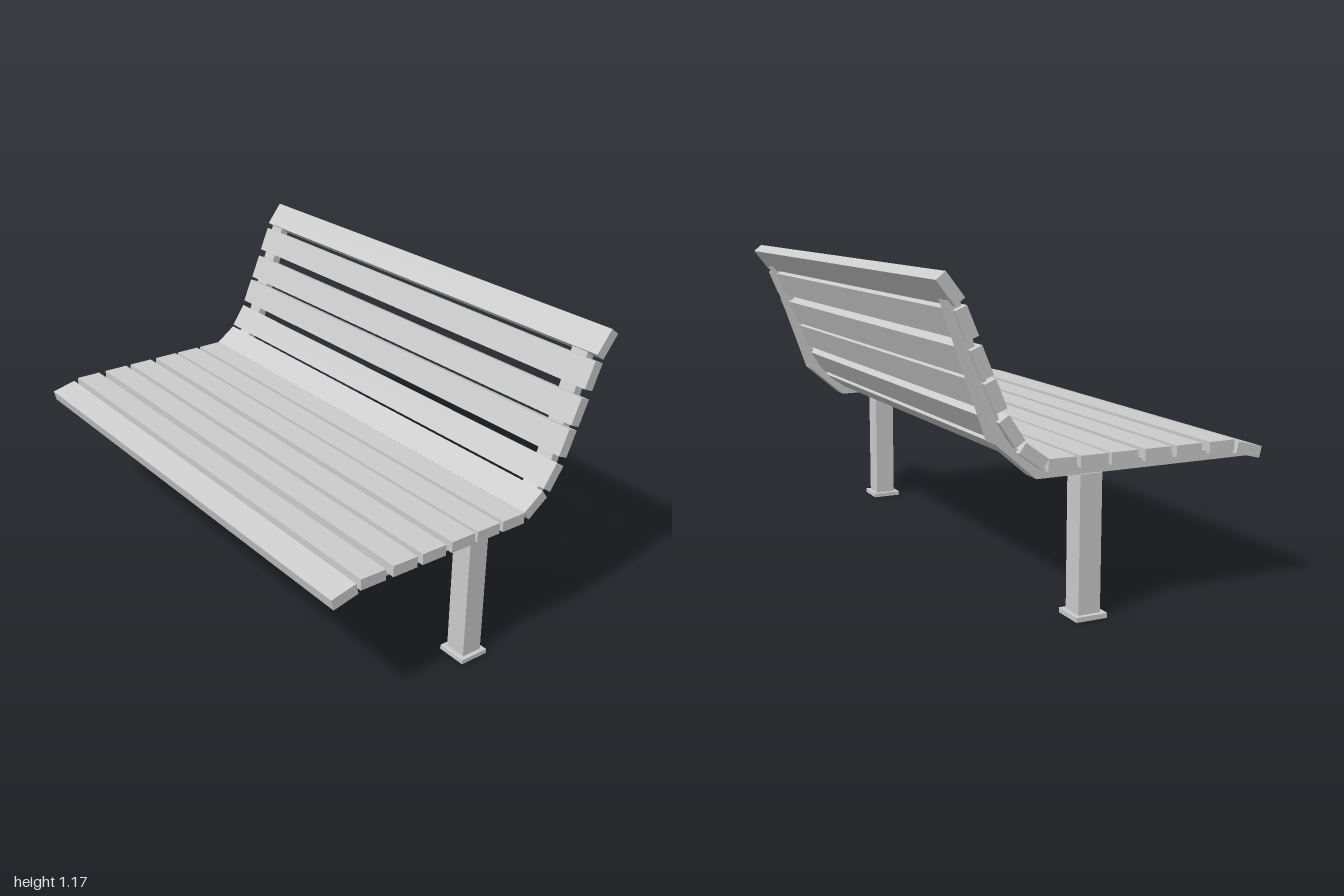
import * as THREE from 'three';

export function createModel() {
  const bench = new THREE.Group();
  bench.name = 'bench';
  const material = new THREE.MeshStandardMaterial({ color: 0xcccccc, flatShading: true });

  const add = (name, geometry, x, y, z) => {
    const mesh = new THREE.Mesh(geometry, material);
    mesh.name = name;
    mesh.position.set(x, y, z);
    bench.add(mesh);
    return mesh;
  };

  // Slats: z, y and tilt in degrees, from the front edge to the top of the back
  const slatGeometry = new THREE.BoxGeometry(2, 0.042, 0.103);
  const seat = [0.45, 0.315, 0.19, 0.06, -0.056, -0.175].map((z) => [z, 0.542, 0]);
  const back = [
    [-0.279, 0.577, 36],
    [-0.357, 0.663, 56],
    [-0.414, 0.779, 67],
    [-0.461, 0.886, 67],
    [-0.512, 1.01, 67],
    [-0.567, 1.116, 52],
  ];
  const addSlat = (name) => ([z, y, tilt]) => {
    add(name, slatGeometry, 0, y, z).rotation.x = THREE.MathUtils.degToRad(tilt);
  };
  [[0.565, 0.521, 14], ...seat].forEach(addSlat('seatSlat'));
  back.forEach(addSlat('backSlat'));

  // Bent side rail as a (z, y) outline, extruded across x
  const railWidth = 0.072;
  const outline = [
    [0.605, 0.496], [-0.258, 0.496], [-0.403, 0.62], [-0.565, 1.078],
    [-0.53, 1.09], [-0.37, 0.638], [-0.245, 0.532], [0.515, 0.532],
  ];
  const railShape = new THREE.Shape(outline.map(([z, y]) => new THREE.Vector2(-z, y)));
  const railGeometry = new THREE.ExtrudeGeometry(railShape, { depth: railWidth, bevelEnabled: false });
  railGeometry.translate(0, 0, -railWidth / 2).rotateY(Math.PI / 2);

  // Rail, post and foot plate at each end
  const postGeometry = new THREE.BoxGeometry(0.085, 0.48, 0.083);
  const plateGeometry = new THREE.BoxGeometry(0.118, 0.017, 0.118);
  for (const x of [-0.941, 0.914]) {
    add('sideRail', railGeometry, x, 0, 0);
    add('post', postGeometry, x, 0.257, -0.058);
    add('footPlate', plateGeometry, x, 0.0085, -0.057);
  }

  return bench;
}
